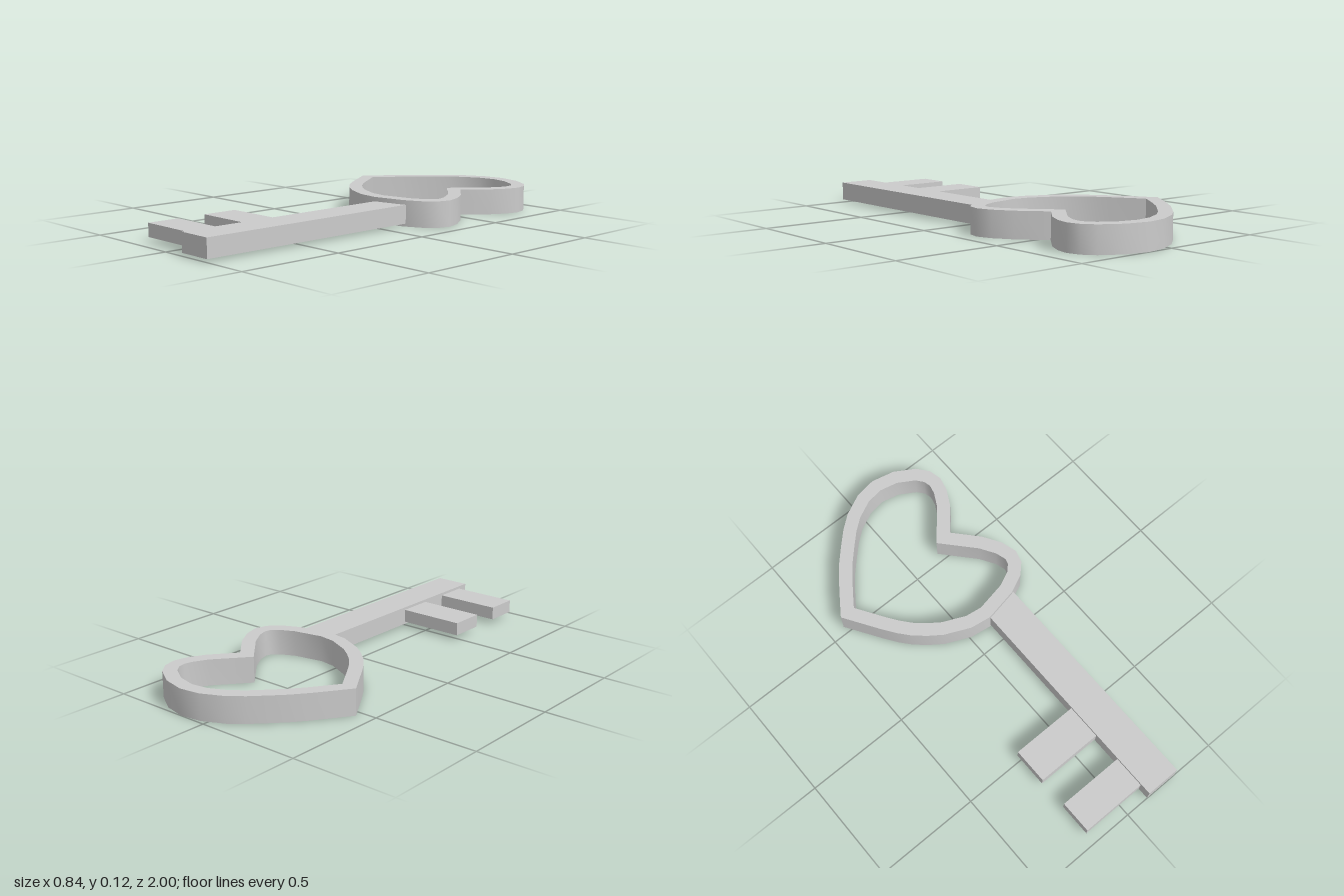
import * as THREE from 'three';
import { toCreasedNormals } from 'three/addons/utils/BufferGeometryUtils.js';

const material = new THREE.MeshStandardMaterial({ color: 0xcccccc });

// Heart outline as [x, z], clockwise seen from above, starting at the tip
const OUTLINE = [
  [-0.422, -0.535], [-0.37, -0.61], [-0.312, -0.692], [-0.259, -0.759], [-0.2, -0.821],
  [-0.137, -0.884], [-0.07, -0.937], [0.03, -0.985], [0.13, -1], [0.24, -0.975],
  [0.335, -0.917], [0.378, -0.863], [0.393, -0.8], [0.378, -0.735], [0.337, -0.657],
  [0.243, -0.545], [0.347, -0.43], [0.4, -0.345], [0.422, -0.27], [0.406, -0.21],
  [0.357, -0.16], [0.27, -0.12], [0.11, -0.09], [0.01, -0.105], [-0.11, -0.16],
  [-0.171, -0.204], [-0.227, -0.254], [-0.272, -0.307], [-0.312, -0.364],
].map(([x, z]) => new THREE.Vector2(x, -z));

// Inset a clockwise loop by an even wall thickness, with mitred corners
function inset(points, wall) {
  const n = points.length;
  const normal = (a, b) => new THREE.Vector2(b.y - a.y, a.x - b.x).normalize();
  return points.map((p, i) => {
    const n1 = normal(points[(i + n - 1) % n], p);
    const n2 = normal(p, points[(i + 1) % n]);
    const miter = n1.clone().add(n2).normalize();
    return p.clone().addScaledVector(miter, wall / miter.dot(n1));
  });
}

function addBox(group, name, [x0, x1], [y0, y1], [z0, z1]) {
  const mesh = new THREE.Mesh(new THREE.BoxGeometry(x1 - x0, y1 - y0, z1 - z0), material);
  mesh.position.set((x0 + x1) / 2, (y0 + y1) / 2, (z0 + z1) / 2);
  mesh.name = name;
  group.add(mesh);
}

export function createModel() {
  const key = new THREE.Group();
  key.name = 'heartKey';

  // Heart-shaped bow: an open ring lying flat; the hole winds against the outline
  const heart = new THREE.Shape(OUTLINE);
  heart.holes.push(new THREE.Path(inset(OUTLINE, 0.063).reverse()));
  const ring = new THREE.ExtrudeGeometry(heart, { depth: 0.122, bevelEnabled: false });
  ring.rotateX(-Math.PI / 2);
  const bow = new THREE.Mesh(toCreasedNormals(ring, Math.PI / 5), material);
  bow.name = 'heartBow';
  key.add(bow);

  // Shaft, set into the wall of the bow
  addBox(key, 'shaft', [0.115, 0.282], [0.014, 0.101], [-0.132, 1]);

  // Two teeth on the right side
  addBox(key, 'innerTooth', [-0.205, 0.13], [0.026, 0.088], [0.479, 0.648]);
  addBox(key, 'outerTooth', [-0.203, 0.13], [0.026, 0.088], [0.79, 0.945]);

  return key;
}
